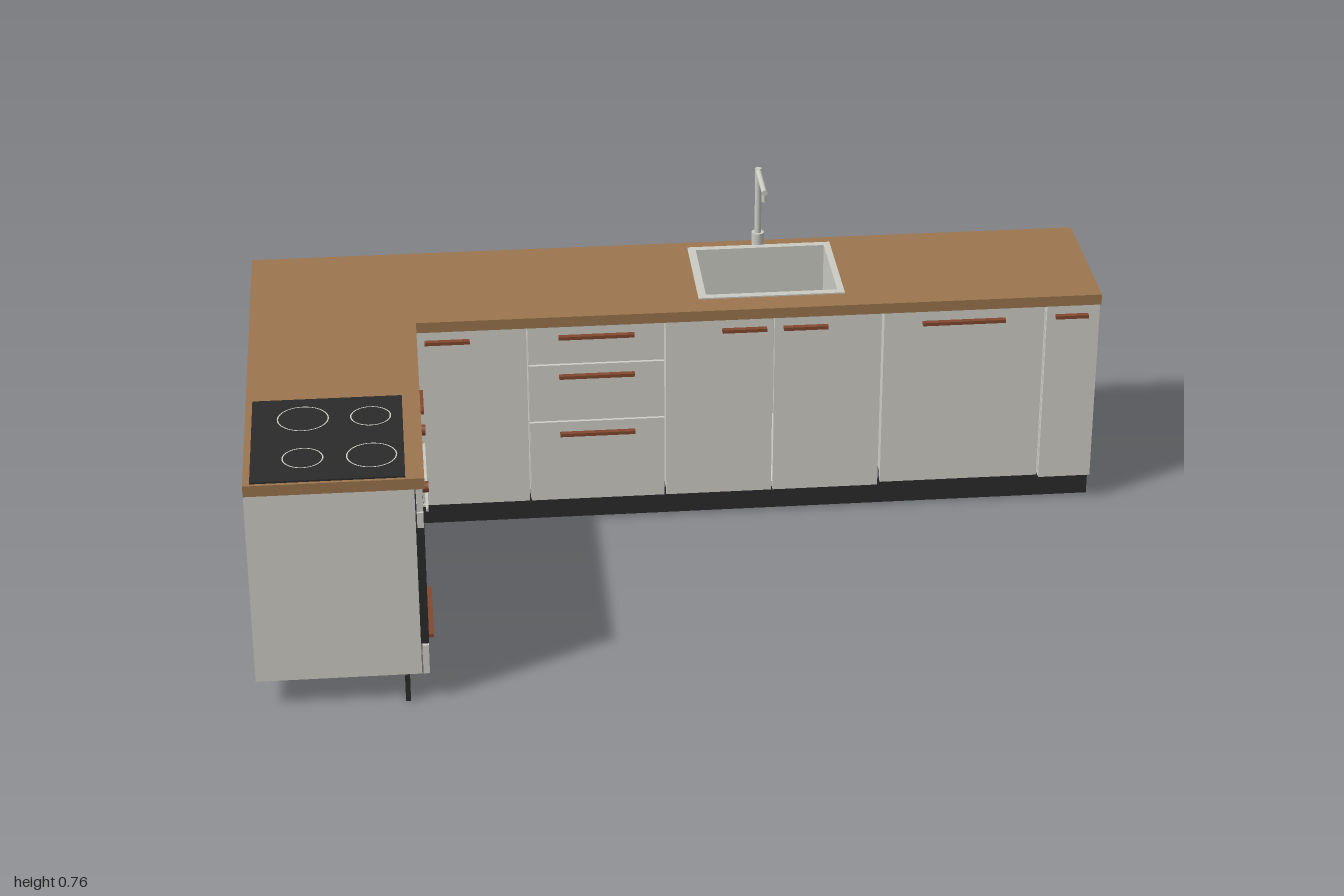
import * as THREE from 'three';

const mat = (name, color) => {
  const m = new THREE.MeshStandardMaterial({ color });
  m.name = name;
  return m;
};

export function createModel() {
  const cream = mat('cream fronts', 0xd0cfc7);
  const wood = mat('wood worktop', 0x9c764e);
  const black = mat('black', 0x2b2b2b);
  const copper = mat('copper handles', 0x82482f);
  const steel = mat('steel', 0xcbcbc4);
  const root = new THREE.Group();
  root.name = 'cornerKitchen';

  const add = (name, geo, m, parent = root) => {
    const mesh = new THREE.Mesh(geo, m);
    mesh.name = name;
    parent.add(mesh);
    return mesh;
  };
  // Box given by its lower and upper limits on each axis
  const box = (name, m, x0, x1, y0, y1, z0, z1, parent) => {
    const b = add(name, new THREE.BoxGeometry(x1 - x0, y1 - y0, z1 - z0), m, parent);
    b.position.set((x0 + x1) / 2, (y0 + y1) / 2, (z0 + z1) / 2);
    return b;
  };
  // Rod between two points
  const rod = (name, m, r, a, b, parent, sides = 20) => {
    const p = new THREE.Vector3(...a), q = new THREE.Vector3(...b);
    const c = add(name, new THREE.CylinderGeometry(r, r, p.distanceTo(q), sides), m, parent);
    c.position.copy(p).add(q).multiplyScalar(0.5);
    c.quaternion.setFromUnitVectors(new THREE.Vector3(0, 1, 0), q.sub(p).normalize());
    return c;
  };
  // Flat horizontal plate with a rectangular hole
  const frame = (name, m, [x0, x1, z0, z1], [a0, a1, b0, b1], y, h) => {
    const rect = (S, l, r, n, f) => new S([[l, -n], [r, -n], [r, -f], [l, -f]].map(p => new THREE.Vector2(...p)));
    const s = rect(THREE.Shape, x0, x1, z1, z0);
    s.holes.push(rect(THREE.Path, a0, a1, b1, b0));
    const g = new THREE.ExtrudeGeometry(s, { depth: h, bevelEnabled: false });
    g.rotateX(-Math.PI / 2);
    add(name, g, m).position.y = y;
  };

  const low = 0.068, top = 0.53, g = 0.002;
  const basin = [0.065, 0.385, -0.508, -0.252];

  // Worktop in two pieces, with a cut-out for the sink
  frame('backWorktop', wood, [-1, 1, -0.555, -0.175], basin, top, 0.026);
  box('sideWorktop', wood, -1, -0.615, top, 0.556, -0.175, 0.57);

  // Carcasses of the back run
  const back = -0.553;
  for (const [x0, x1] of [[-1, -0.361], [-0.357, -0.037], [0.872, 0.998]])
    box('backCabinet', cream, x0, x1, low, top, back, -0.197);
  box('dishwasherBody', cream, 0.49, 0.862, 0.078, 0.515, -0.54, -0.197);

  // Open-topped carcass under the sink
  const sinkCabinet = new THREE.Group();
  sinkCabinet.name = 'sinkCabinet';
  root.add(sinkCabinet);
  box('bottom', cream, -0.031, 0.478, low, 0.082, back, -0.197, sinkCabinet);
  box('rear', cream, -0.031, 0.478, 0.082, top, back, back + 0.01, sinkCabinet);
  box('leftWall', cream, 0.464, 0.478, 0.082, top, back + 0.01, -0.197, sinkCabinet);
  box('rightWall', cream, -0.031, -0.017, 0.082, top, back + 0.01, -0.197, sinkCabinet);

  // Carcasses of the side run
  box('sideCabinet', cream, -1, -0.637, low, top, -0.168, 0.187);
  box('ovenCabinet', cream, -1, -0.637, low, top, 0.191, 0.57);

  // Fronts of the back run: x0, x1, y0, y1
  for (const [x0, x1, y0, y1] of [
    [-0.617, -0.358, low, top], [-0.358, -0.035, low, 0.277], [-0.358, -0.035, 0.281, 0.428],
    [-0.358, -0.035, 0.432, top], [-0.035, 0.222, low, top], [0.222, 0.48, low, top],
    [0.482, 0.868, 0.075, top], [0.87, 1, low, top],
  ]) box('frontPanel', cream, x0 + g, x1 - g, y0, y1, -0.194, -0.18);

  // Handles of the back run: x0, x1, y
  for (const [x0, x1, y] of [
    [-0.597, -0.492, 0.503], [-0.285, -0.107, 0.503], [-0.285, -0.107, 0.4], [-0.285, -0.107, 0.247],
    [0.1, 0.205, 0.503], [0.245, 0.35, 0.503], [0.575, 0.772, 0.5], [0.892, 0.97, 0.503],
  ]) box('handle', copper, x0, x1, y - 0.004, y + 0.004, -0.18, -0.167);

  // Fronts and handles of the side run
  box('sideDoor', cream, -0.634, -0.62, low, top, -0.168, 0.187);
  box('ovenControlPanel', cream, -0.634, -0.62, 0.475, top, 0.191, 0.57);
  box('ovenDoorTop', cream, -0.634, -0.62, 0.435, 0.472, 0.191, 0.57);
  box('ovenGlass', black, -0.637, -0.619, 0.145, 0.435, 0.191, 0.57);
  box('ovenDrawer', cream, -0.634, -0.62, low, 0.14, 0.191, 0.57);
  box('handle', copper, -0.62, -0.607, 0.497, 0.505, 0.063, 0.167);
  box('handle', copper, -0.62, -0.607, 0.107, 0.115, 0.278, 0.484);
  box('ovenHandle', steel, -0.614, -0.608, 0.452, 0.459, 0.233, 0.53);
  for (const z of [0.255, 0.508]) box('handlePost', steel, -0.62, -0.614, 0.453, 0.458, z - 0.004, z + 0.004);
  for (const z of [0.251, 0.51]) rod('ovenKnob', copper, 0.012, [-0.62, 0.502, z], [-0.606, 0.502, z]);

  // Plinths
  box('backPlinth', black, -0.645, 1, 0, low - 0.003, -0.225, -0.214);
  box('sidePlinth', black, -0.675, -0.664, 0, low - 0.003, -0.168, 0.572);

  // Hob with ringed cooking zones
  box('hob', black, -0.985, -0.655, 0.556, 0.56, 0.19, 0.562);
  for (const [x, z, r] of [[-0.873, 0.285, 0.057], [-0.725, 0.285, 0.045], [-0.873, 0.465, 0.045], [-0.725, 0.465, 0.055]]) {
    rod('cookingZone', black, r, [x, 0.56, z], [x, 0.561, z], root, 40);
    const ring = add('zoneRing', new THREE.RingGeometry(r - 0.003, r, 40), steel);
    ring.rotation.x = -Math.PI / 2;
    ring.position.set(x, 0.5615, z);
  }

  // Sink: rim, basin walls, floor and drain
  const [a0, a1, b0, b1] = basin, deep = 0.43, t = 0.004;
  frame('sinkRim', steel, [0.05, 0.397, -0.522, -0.238], [a0 + t, a1 - t, b0 + t, b1 - t], 0.556, 0.003);
  box('sinkFloor', steel, a0, a1, deep - t, deep, b0, b1);
  box('sinkWall', steel, a0, a0 + t, deep, 0.556, b0, b1);
  box('sinkWall', steel, a1 - t, a1, deep, 0.556, b0, b1);
  box('sinkWall', steel, a0 + t, a1 - t, deep, 0.556, b0, b0 + t);
  box('sinkWall', steel, a0 + t, a1 - t, deep, 0.556, b1 - t, b1);
  rod('drain', black, 0.02, [0.223, deep, -0.38], [0.223, deep + 0.003, -0.38]);

  // Tap with angled spout and rear lever
  const tap = new THREE.Group();
  tap.name = 'tap';
  tap.position.set(0.223, 0, -0.533);
  root.add(tap);
  rod('tapBase', steel, 0.015, [0, 0.556, 0], [0, 0.588, 0], tap);
  rod('tapColumn', steel, 0.008, [0, 0.588, 0], [0, 0.756, 0], tap);
  rod('tapSpout', steel, 0.007, [0, 0.749, 0], [0, 0.749, 0.132], tap);
  rod('tapNozzle', steel, 0.006, [0, 0.749, 0.123], [0, 0.724, 0.123], tap);
  rod('tapLever', copper, 0.003, [0, 0.608, -0.005], [0, 0.608, -0.039], tap);

  return root;
}
